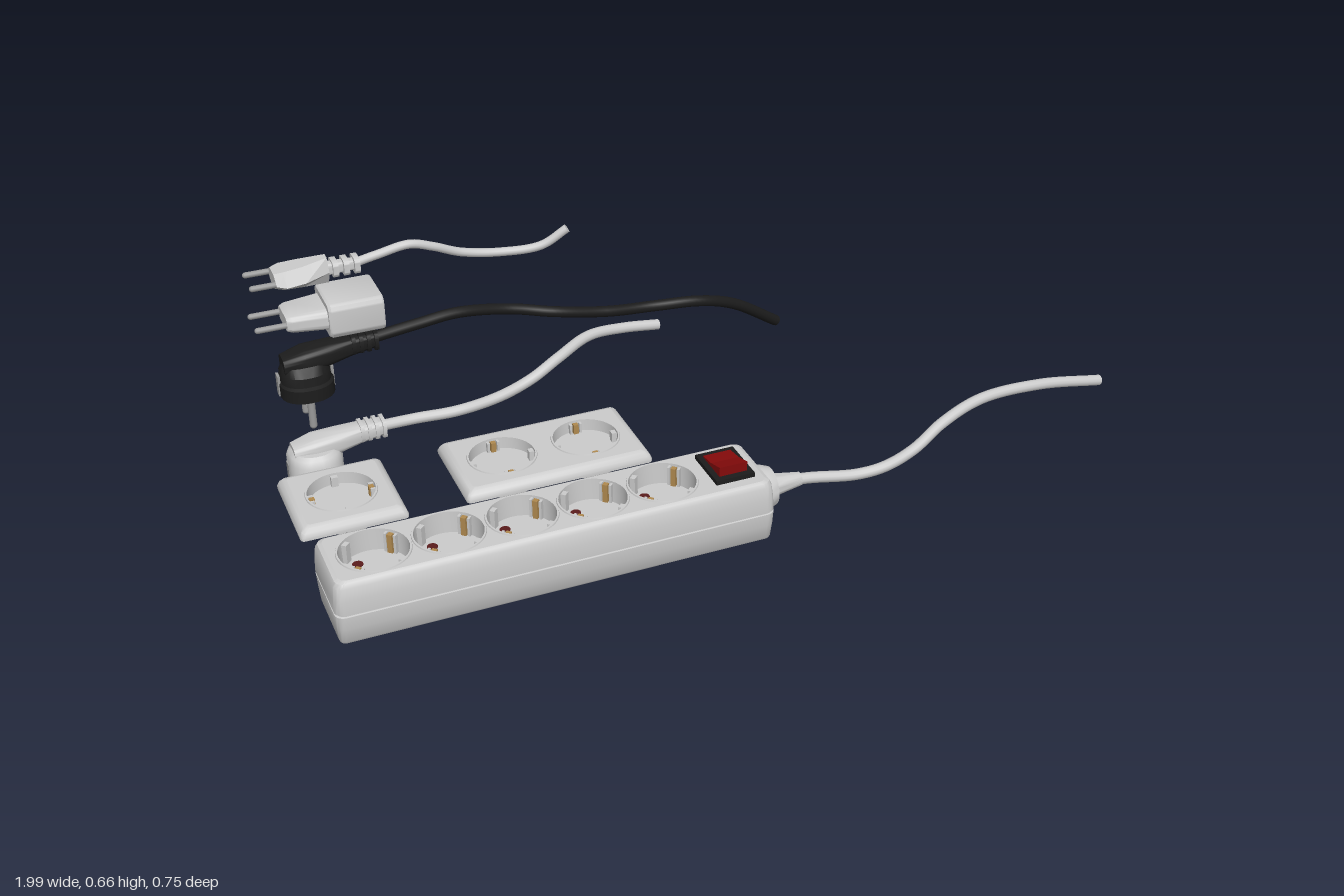
import * as THREE from 'three';
import { toCreasedNormals } from 'three/addons/utils/BufferGeometryUtils.js';

const paint = (color) => new THREE.MeshStandardMaterial({ color, side: THREE.DoubleSide });
const GREY = paint(0xcccccc), BLACK = paint(0x1c1c1c), RED = paint(0x8a0c0c);
const STEEL = paint(0x999999), DARK = paint(0x3a3030), HOLE = paint(0x5a1c1c), BRASS = paint(0xb08a50);

function add(parent, name, geometry, material = GREY, x = 0, y = 0, z = 0) {
  const mesh = new THREE.Mesh(geometry, material);
  mesh.name = name;
  mesh.position.set(x, y, z);
  parent.add(mesh);
  return mesh;
}

function group(parent, name, x = 0, y = 0, z = 0) {
  const g = new THREE.Group();
  g.name = name;
  g.position.set(x, y, z);
  parent.add(g);
  return g;
}

const box = (w, h, d) => new THREE.BoxGeometry(w, h, d);
const rod = (r, h, n = 20) => new THREE.CylinderGeometry(r, r, h, n);

// rounded rectangle outline, counter-clockwise, as [x, -z] pairs
function outline(w, d, r, n = 6) {
  const pts = [];
  for (let c = 0; c < 4; c++) {
    const sx = c === 0 || c === 3 ? 1 : -1, sy = c < 2 ? 1 : -1;
    for (let i = 0; i <= n; i++) {
      const a = (c + i / n) * Math.PI / 2;
      pts.push([sx * (w / 2 - r) + r * Math.cos(a), sy * (d / 2 - r) + r * Math.sin(a)]);
    }
  }
  return pts;
}

// skin over rounded rectangles stacked along y: [y, width, depth, radius, x shift]
function loft(sections, openTop = false, crease = 0.6) {
  const pos = [], index = [];
  let n = 0;
  for (const [y, w, d, r, cx = 0] of sections) {
    const pts = outline(w, d, r);
    n = pts.length;
    pts.forEach(([px, py]) => pos.push(px + cx, y, -py));
  }
  const last = sections.length - 1;
  for (let i = 0; i < last; i++) for (let j = 0; j < n; j++) {
    const a = i * n + j, b = i * n + (j + 1) % n;
    index.push(a, b, b + n, a, b + n, a + n);
  }
  const [s, e] = [sections[0], sections[last]];
  pos.push(s[4] || 0, s[0], 0, e[4] || 0, e[0], 0);
  const c = (last + 1) * n;
  for (let j = 0; j < n; j++) {
    const k = (j + 1) % n;
    index.push(c, k, j);
    if (!openTop) index.push(c + 1, last * n + j, last * n + k);
  }
  const g = new THREE.BufferGeometry();
  g.setAttribute('position', new THREE.Float32BufferAttribute(pos, 3));
  g.setIndex(index);
  return toCreasedNormals(g, crease);
}

// same skin laid along x: [x, height, depth, radius, -y shift]
const loftX = (sections, crease) => loft(sections, false, crease).rotateZ(-Math.PI / 2);

// flat lid with round openings for the sockets
function lid(w, d, r, xs) {
  const shape = new THREE.Shape(outline(w, d, r).map(([x, y]) => new THREE.Vector2(x, y)));
  for (const x of xs) shape.holes.push(new THREE.Path().absarc(x, 0, 0.078, 0, Math.PI * 2, true));
  return new THREE.ShapeGeometry(shape, 20).rotateX(-Math.PI / 2);
}

function cable(parent, points, radius, material = GREY) {
  const curve = new THREE.CatmullRomCurve3(points.map((p) => new THREE.Vector3(...p)));
  add(parent, 'cable', new THREE.TubeGeometry(curve, 80, radius, 12), material);
  const end = add(parent, 'cableEnd', new THREE.CircleGeometry(radius, 12), material, ...points[points.length - 1]);
  end.lookAt(end.position.clone().add(curve.getTangent(1)));
}

// recessed socket: well, pin holes, earth clips and side guides; pins lie along local x
function socket(parent, x, y, z, turn, holeColor) {
  const g = group(parent, 'socket', x, y, z);
  g.rotation.y = turn;
  const profile = [[0.082, 0], [0.081, 0.003], [0.077, 0.003], [0.075, -0.05], [0, -0.05]];
  const well = new THREE.LatheGeometry(profile.map((p) => new THREE.Vector2(...p)), 40);
  add(g, 'well', toCreasedNormals(well, 0.5));
  for (const s of [-1, 1]) {
    add(g, 'pinHole', rod(0.012, 0.002), holeColor, s * 0.044, -0.0485);
    add(g, 'earthClip', box(0.012, 0.046, 0.012), BRASS, 0, -0.025, s * 0.068);
    for (const t of [-1, 1]) add(g, 'clipGuide', box(0.006, 0.046, 0.012), GREY, t * 0.012, -0.025, s * 0.07);
    add(g, 'sideGuide', box(0.012, 0.046, 0.016), GREY, s * 0.07, -0.025);
  }
}

// wall plate with one or more sockets and their inserts behind
function wallPlate(parent, name, x, width, xs, turn) {
  const g = group(parent, name, x, 0, -0.008);
  const d = 0.245;
  add(g, 'plate', loft([[0.187, width, d, 0.01], [0.194, width, d, 0.01], [0.204, width - 0.008, d - 0.008, 0.01],
    [0.212, width - 0.022, d - 0.022, 0.01], [0.215, width - 0.04, d - 0.04, 0.01]], true));
  add(g, 'plateFace', lid(width - 0.04, d - 0.04, 0.01, xs), GREY, 0, 0.215);
  for (const sx of xs) {
    socket(g, sx, 0.215, 0, turn, DARK);
    const insert = group(g, 'insert', sx, 0, 0);
    insert.rotation.y = turn;
    add(insert, 'insertBody', rod(0.077, 0.039, 40), GREY, 0, 0.1695);
    for (const s of [-1, 0, 1]) add(insert, 'terminal', rod(0.011, 0.026, 16), GREY, s * 0.038, 0.14);
    for (const s of [-1, 1]) {
      add(insert, 'clamp', box(0.012, 0.05, 0.03), GREY, s * 0.083, 0.162);
      add(insert, 'clampFoot', box(0.026, 0.012, 0.03), GREY, s * 0.074, 0.144);
    }
  }
}

// angled two-pin plug with earth strips, origin at the contact face
function earthedPlug(parent, name, y, material, body) {
  const g = group(parent, name, -0.877, y, -0.292);
  add(g, 'body', loft(body), material);
  add(g, 'handle', loftX([[-0.05, 0.04, 0.06, 0.015, -0.075], [0, 0.06, 0.075, 0.02, -0.08], [0.06, 0.055, 0.065, 0.02, -0.088],
    [0.11, 0.045, 0.052, 0.014, -0.095], [0.175, 0.036, 0.042, 0.012, -0.1]]), material);
  for (let i = 0; i < 4; i++)
    add(g, 'gripRib', loftX([[0, 0.046, 0.054, 0.012], [0.009, 0.046, 0.054, 0.012]]), material, 0.112 + i * 0.018, 0.099);
  for (const s of [-1, 1]) {
    add(g, 'pin', new THREE.CapsuleGeometry(0.009, 0.078, 6, 16), STEEL, 0, -0.038, s * 0.037);
    add(g, 'earthStrip', box(0.006, 0.052, 0.022), STEEL, s * 0.063, 0.027);
  }
}

export function createModel() {
  const model = new THREE.Group();
  model.name = 'powerSocketsAndPlugs';

  // power strip with five sockets
  const strip = group(model, 'powerStrip', -0.482, 0, 0.272);
  const socketsX = [0, 1, 2, 3, 4].map((i) => -0.394 + i * 0.166);
  add(strip, 'housing', loft([[0.077, 1.0, 0.176, 0.012], [0.083, 1.006, 0.184, 0.016], [0.12, 1.012, 0.199, 0.02],
    [0.152, 1.016, 0.205, 0.022], [0.153, 1.008, 0.197, 0.02], [0.157, 1.008, 0.197, 0.02], [0.158, 1.016, 0.205, 0.022],
    [0.19, 1.014, 0.201, 0.022], [0.22, 1.008, 0.194, 0.022], [0.23, 0.998, 0.184, 0.02], [0.234, 0.98, 0.17, 0.018]], true));
  add(strip, 'topFace', lid(0.98, 0.17, 0.018, socketsX), GREY, 0, 0.234);
  for (const x of socketsX) socket(strip, x, 0.234, 0, -Math.PI / 4, HOLE);

  // rocker switch
  add(strip, 'switchFrame', box(0.094, 0.012, 0.122), BLACK, 0.424, 0.239);
  const rocker = new THREE.Shape([[-0.045, 0.24], [0.045, 0.24], [0.048, 0.27], [0, 0.255], [-0.046, 0.248]]
    .map((p) => new THREE.Vector2(...p)));
  const rockerMesh = add(strip, 'rocker', new THREE.ExtrudeGeometry(rocker, { depth: 0.068, bevelEnabled: false }), RED, 0.39);
  rockerMesh.geometry.translate(0, 0, -0.034).rotateY(-Math.PI / 2);
  rockerMesh.position.x = 0.424;

  // cable outlet
  const gland = [[0, 0], [0.055, 0], [0.055, 0.012], [0.046, 0.036], [0.028, 0.04], [0.024, 0.06], [0.016, 0.11], [0, 0.11]];
  const glandGeo = new THREE.LatheGeometry(gland.map((p) => new THREE.Vector2(...p)), 28).rotateZ(-Math.PI / 2);
  add(strip, 'cableGland', toCreasedNormals(glandGeo, 0.5), GREY, 0.506, 0.156);
  cable(model, [[0.06, 0.157, 0.272], [0.15, 0.149, 0.266], [0.28, 0.135, 0.28], [0.35, 0.148, 0.293], [0.42, 0.182, 0.3],
    [0.5, 0.225, 0.285], [0.62, 0.249, 0.257], [0.8, 0.236, 0.234], [0.99, 0.195, 0.215]], 0.0135);

  // wall sockets
  wallPlate(model, 'singleWallSocket', -0.877, 0.245, [0], Math.PI / 2);
  wallPlate(model, 'doubleWallSocket', -0.395, 0.45, [-0.103, 0.103], 0);

  // grey earthed plug
  earthedPlug(model, 'greyPlug', 0.09, GREY, [[0, 0.126, 0.14, 0.055], [0.06, 0.126, 0.14, 0.055],
    [0.075, 0.118, 0.122, 0.052], [0.083, 0.1, 0.105, 0.045]]);
  cable(model, [[-0.72, 0.19, -0.292], [-0.62, 0.186, -0.298], [-0.52, 0.19, -0.286], [-0.42, 0.222, -0.258], [-0.34, 0.257, -0.25],
    [-0.26, 0.286, -0.275], [-0.16, 0.298, -0.33], [-0.06, 0.285, -0.357], [0.04, 0.27, -0.365]], 0.0135);

  // black earthed plug
  earthedPlug(model, 'blackPlug', 0.33, BLACK, [[0, 0.126, 0.14, 0.055], [0.032, 0.126, 0.14, 0.055],
    [0.036, 0.118, 0.12, 0.05], [0.058, 0.115, 0.115, 0.05], [0.076, 0.1, 0.075, 0.035]]);
  cable(model, [[-0.72, 0.43, -0.292], [-0.6, 0.442, -0.296], [-0.5, 0.448, -0.302], [-0.36, 0.418, -0.324], [-0.26, 0.402, -0.298],
    [-0.15, 0.42, -0.215], [-0.05, 0.446, -0.15], [0.05, 0.446, -0.133], [0.15, 0.408, -0.157], [0.3, 0.3, -0.215]], 0.0135, BLACK);

  // charger block
  const charger = group(model, 'charger', 0, 0.524, -0.292);
  add(charger, 'block', loftX([[-0.82, 0.08, 0.132, 0.016], [-0.814, 0.087, 0.14, 0.018], [-0.695, 0.087, 0.14, 0.018], [-0.691, 0.082, 0.135, 0.016]]));
  add(charger, 'plugNeck', loftX([[-0.912, 0.034, 0.09, 0.014], [-0.9, 0.042, 0.1, 0.016], [-0.818, 0.052, 0.116, 0.018]]));
  add(charger, 'port', box(0.034, 0.014, 0.003), STEEL, -0.755, 0, -0.07);

  // flat two-pin plug
  const flat = group(model, 'flatPlug', 0, 0.63, -0.292);
  const wedge = [[-0.925, 0.05, 0.018], [-0.905, 0.067, 0.022], [-0.86, 0.058, 0.025], [-0.8, 0.026, 0.031]];
  const hexRing = ([x, w, h]) => [[w, 0], [w * 0.4, h], [-w * 0.4, h], [-w, 0], [-w * 0.4, -h], [w * 0.4, -h]].map(([z, y]) => [x, y, z]);
  const pos = [], idx = [];
  wedge.forEach((s) => hexRing(s).forEach((p) => pos.push(...p)));
  for (let i = 0; i < 3; i++) for (let j = 0; j < 6; j++) {
    const a = i * 6 + j, b = i * 6 + (j + 1) % 6;
    idx.push(a, b + 6, b, a, a + 6, b + 6);
  }
  for (let j = 1; j < 5; j++) idx.push(0, j, j + 1, 18, 18 + j + 1, 18 + j);
  const wedgeGeo = new THREE.BufferGeometry();
  wedgeGeo.setAttribute('position', new THREE.Float32BufferAttribute(pos, 3));
  wedgeGeo.setIndex(idx);
  add(flat, 'body', toCreasedNormals(wedgeGeo, 0.3));
  add(flat, 'strainRelief', loftX([[-0.81, 0.03, 0.032, 0.01], [-0.725, 0.026, 0.026, 0.01]]));
  for (let i = 0; i < 3; i++)
    add(flat, 'reliefRib', loftX([[0, 0.038, 0.046, 0.01], [0.013, 0.038, 0.046, 0.01]]), GREY, -0.79 + i * 0.025);
  cable(model, [[-0.74, 0.63, -0.292], [-0.68, 0.64, -0.295], [-0.605, 0.654, -0.29], [-0.55, 0.636, -0.294], [-0.48, 0.603, -0.305],
    [-0.385, 0.586, -0.302], [-0.29, 0.595, -0.28], [-0.23, 0.635, -0.264]], 0.0105);

  // pins shared by the charger and the flat plug
  for (const [owner, start] of [[charger, -0.905], [flat, -0.915]]) for (const s of [-1, 1]) {
    const length = start + 0.985 - 0.014;
    add(owner, 'pin', new THREE.CapsuleGeometry(0.007, length, 5, 12).rotateZ(Math.PI / 2), STEEL, (start - 0.985) / 2, 0, s * 0.037);
  }
  return model;
}
